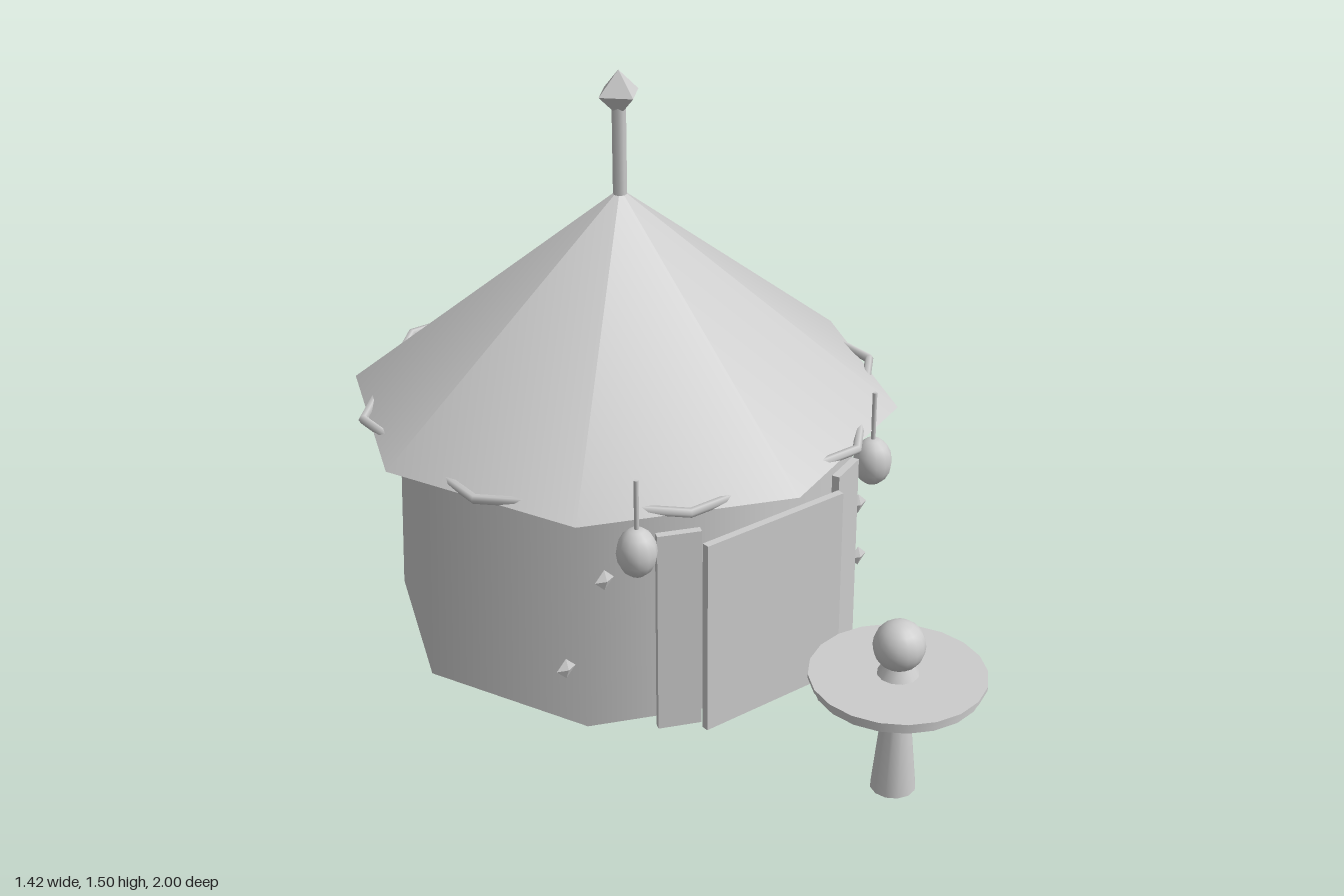
import * as THREE from 'three';

export function createModel() {
  const model = new THREE.Group();
  const stone = new THREE.MeshStandardMaterial({ color: 0xcccccc });
  stone.name = 'paleGrey';

  // Adds a named mesh to a parent group
  const add = (parent, name, geometry, x, y, z) => {
    const mesh = new THREE.Mesh(geometry, stone);
    mesh.name = name;
    mesh.position.set(x, y, z);
    parent.add(mesh);
    return mesh;
  };
  const cyl = (top, bottom, y0, y1, sides) =>
    new THREE.CylinderGeometry(top, bottom, y1 - y0, sides).translate(0, (y0 + y1) / 2, 0);

  // Tent: eight-sided wall, roof, eave ring and finial
  const tent = new THREE.Group();
  tent.name = 'tent';
  tent.position.z = -0.285;
  model.add(tent);
  add(tent, 'wall', cyl(0.595, 0.617, 0, 0.622, 8), 0, 0, 0);
  add(tent, 'roof', new THREE.ConeGeometry(0.712, 0.565, 8), 0, 0.622 + 0.2825, 0);
  const ring = new THREE.TorusGeometry(0.675, 0.012, 6, 8);
  ring.rotateZ(Math.PI / 8).rotateX(-Math.PI / 2);
  add(tent, 'eaveRing', ring, 0, 0.631, 0);
  add(tent, 'pole', cyl(0.018, 0.018, 1.16, 1.41, 8), 0, 0, 0);
  add(tent, 'finial', new THREE.OctahedronGeometry(0.06), 0, 1.435, 0);

  // Entrance: central panel with a jamb on each side lying along the wall
  add(model, 'doorPanel', new THREE.BoxGeometry(0.425, 0.525, 0.02), 0, 0.2625, 0.335);
  for (const side of [-1, 1]) {
    const jamb = add(model, 'doorJamb', new THREE.BoxGeometry(0.11, 0.545, 0.02), side * 0.262, 0.2875, 0.295);
    jamb.rotation.y = side * Math.PI / 8;

    // Hanging lanterns
    const lantern = new THREE.Group();
    lantern.name = 'lantern';
    lantern.position.set(side * 0.37, 0, 0.275);
    model.add(lantern);
    const bulb = add(lantern, 'lanternBulb', new THREE.SphereGeometry(0.05, 12, 8), 0, 0.535, 0);
    bulb.scale.y = 1.28;
    add(lantern, 'lanternRod', cyl(0.006, 0.006, 0.58, 0.727, 6), 0, 0, 0);
  }

  // Flattened gems on the front walls
  for (const [x, y, z] of [[-0.405, 0.43, 0.19], [-0.475, 0.17, 0.12], [0.405, 0.36, 0.19], [0.475, 0.145, 0.12]]) {
    const gem = add(model, 'wallGem', new THREE.OctahedronGeometry(0.028), x, y, z);
    gem.scale.z = 0.4;
  }

  // Pedestal table with a ball on a small stand
  const table = new THREE.Group();
  table.name = 'table';
  table.position.z = 0.79;
  model.add(table);
  add(table, 'tableLeg', cyl(0.026, 0.055, 0, 0.295, 12), 0, 0, 0);
  add(table, 'tableTop', cyl(0.2, 0.2, 0.288, 0.31, 20), 0, 0, 0);
  add(table, 'tableCloth', cyl(0.21, 0.21, 0.308, 0.318, 20), 0, 0, 0);
  add(table, 'ballStand', cyl(0.035, 0.051, 0.316, 0.346, 12), 0, 0, 0);
  add(table, 'ball', new THREE.SphereGeometry(0.062, 16, 12), 0, 0.394, 0);

  return model;
}
